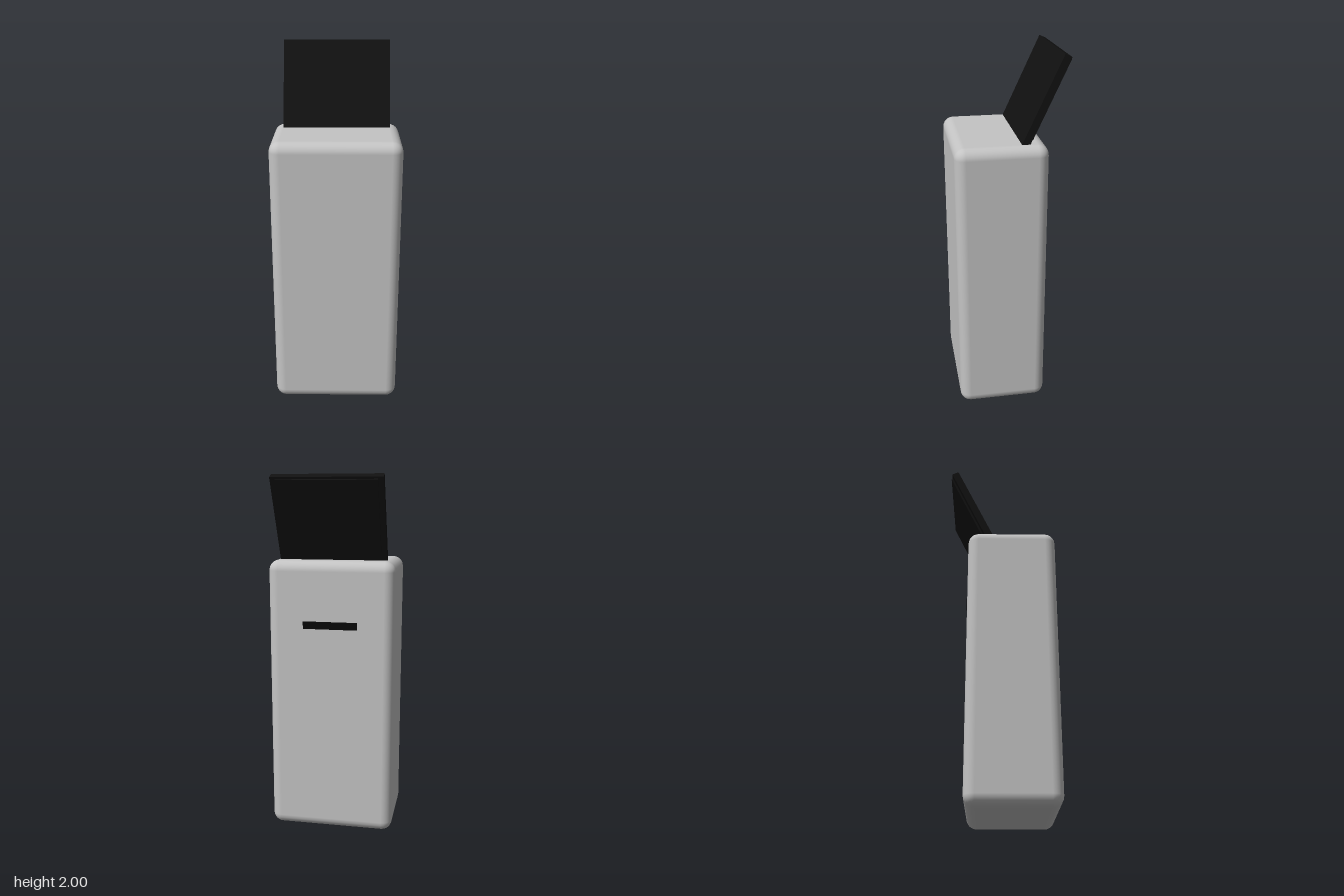
import * as THREE from 'three';
import { RoundedBoxGeometry } from 'three/addons/geometries/RoundedBoxGeometry.js';

const bodyGrey = new THREE.MeshStandardMaterial({ color: 0xc4c4c4 });
bodyGrey.name = 'bodyGrey';
const panelBlack = new THREE.MeshStandardMaterial({ color: 0x111111 });
panelBlack.name = 'panelBlack';
const deepBlack = new THREE.MeshStandardMaterial({ color: 0x080808 });
deepBlack.name = 'deepBlack';

function part(name, geometry, material, x, y, z) {
  const mesh = new THREE.Mesh(geometry, material);
  mesh.name = name;
  mesh.position.set(x, y, z);
  return mesh;
}

export function createModel() {
  const model = new THREE.Group();
  model.name = 'kiosk';

  // Tall cabinet with softly rounded edges
  model.add(part('body', new RoundedBoxGeometry(0.7, 1.545, 0.49, 3, 0.058), bodyGrey, 0, 0.7775, 0.055));

  // Slot strip on the back of the cabinet
  model.add(part('backSlot', new THREE.BoxGeometry(0.3, 0.04, 0.02), deepBlack, 0, 1.2, -0.19));

  // Panel leaning back, pivoted at its top front edge
  const panel = new THREE.Group();
  panel.name = 'tiltedPanel';
  panel.position.set(0, 2, -0.26);
  panel.rotation.x = THREE.MathUtils.degToRad(-25);
  panel.add(part('panelSlab', new THREE.BoxGeometry(0.592, 0.52, 0.04), panelBlack, 0, -0.26, -0.02));
  panel.add(part('panelBackPlate', new THREE.BoxGeometry(0.535, 0.445, 0.012), panelBlack, 0, -0.2345, -0.045));
  model.add(panel);

  return model;
}
